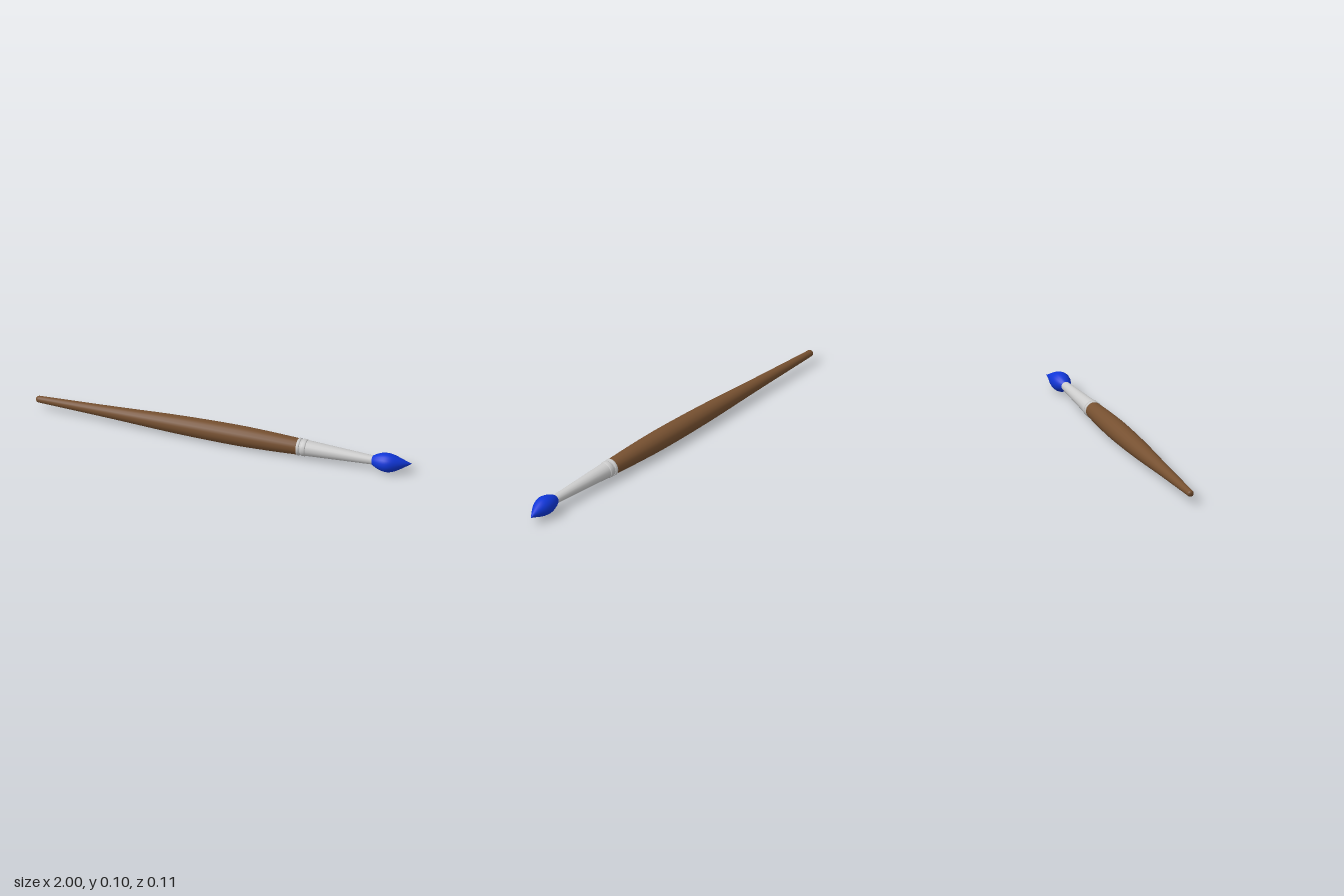
import * as THREE from 'three';
import { mergeVertices } from 'three/addons/utils/BufferGeometryUtils.js';

const AXIS_Y = 0.054;
const SIDES = 18;

// Surface of revolution along x from [x, radius] pairs
function turned(profile) {
  const points = profile.map(([x, r]) => new THREE.Vector2(r, x));
  return new THREE.LatheGeometry(points, SIDES).rotateZ(-Math.PI / 2);
}

// Smooth curve through a few [x, radius] pairs
function smooth(profile, steps) {
  const curve = new THREE.SplineCurve(profile.map(([x, r]) => new THREE.Vector2(x, r)));
  return curve.getPoints(steps).map((p) => [p.x, Math.max(p.y, 0)]);
}

export function createModel() {
  const model = new THREE.Group();
  model.name = 'paintbrush';

  const wood = new THREE.MeshStandardMaterial({ color: 0x765030 });
  const metal = new THREE.MeshStandardMaterial({ color: 0xcccccc });
  const paint = new THREE.MeshStandardMaterial({ color: 0x0f36d8 });

  function add(name, geometry, material) {
    const mesh = new THREE.Mesh(geometry, material);
    mesh.name = name;
    mesh.position.y = AXIS_Y;
    model.add(mesh);
  }

  // Wooden handle: rounded butt, swelling to the middle, narrowing to the ferrule
  const shaft = smooth([[-0.985, 0.0175], [-0.6, 0.032], [-0.25, 0.0475], [0.05, 0.053], [0.25, 0.049], [0.41, 0.042]], 24);
  add('handle', turned([[-1, 0], [-0.999, 0.009], [-0.994, 0.0145], ...shaft]), wood);

  // Metal ferrule: tapered sleeve with a closed front end
  add('ferrule', turned([[0.4, 0.041], [0.45, 0.041], [0.6, 0.0335], [0.8, 0.0235]]), metal);
  add('ferruleMouth', turned([[0.8, 0.0235], [0.8, 0]]), metal);

  // Crimped rings at the handle end of the ferrule
  for (const [x, width, r] of [[0.407, 0.016, 0.0455], [0.435, 0.026, 0.0445]]) {
    const h = width / 2;
    add('ferruleRing', turned([[x - h, 0.039], [x - h, r - 0.003], [x - h * 0.6, r],
      [x + h * 0.6, r], [x + h, r - 0.003], [x + h, 0.037]]), metal);
  }

  // Bristles: teardrop whose tip curls to the back
  const drop = smooth([[0.795, 0.021], [0.82, 0.036], [0.85, 0.0465], [0.88, 0.0495],
    [0.91, 0.044], [0.945, 0.029], [0.975, 0.013], [1, 0]], 24);
  let bristles = turned(drop);
  const position = bristles.attributes.position;
  for (let i = 0; i < position.count; i++) {
    const t = Math.max(0, (position.getX(i) - 0.87) / 0.13);
    position.setZ(i, position.getZ(i) - 0.03 * t * t);
  }
  bristles.deleteAttribute('normal');
  bristles.deleteAttribute('uv');
  bristles = mergeVertices(bristles, 1e-5);
  bristles.computeVertexNormals();
  add('bristles', bristles, paint);

  return model;
}
